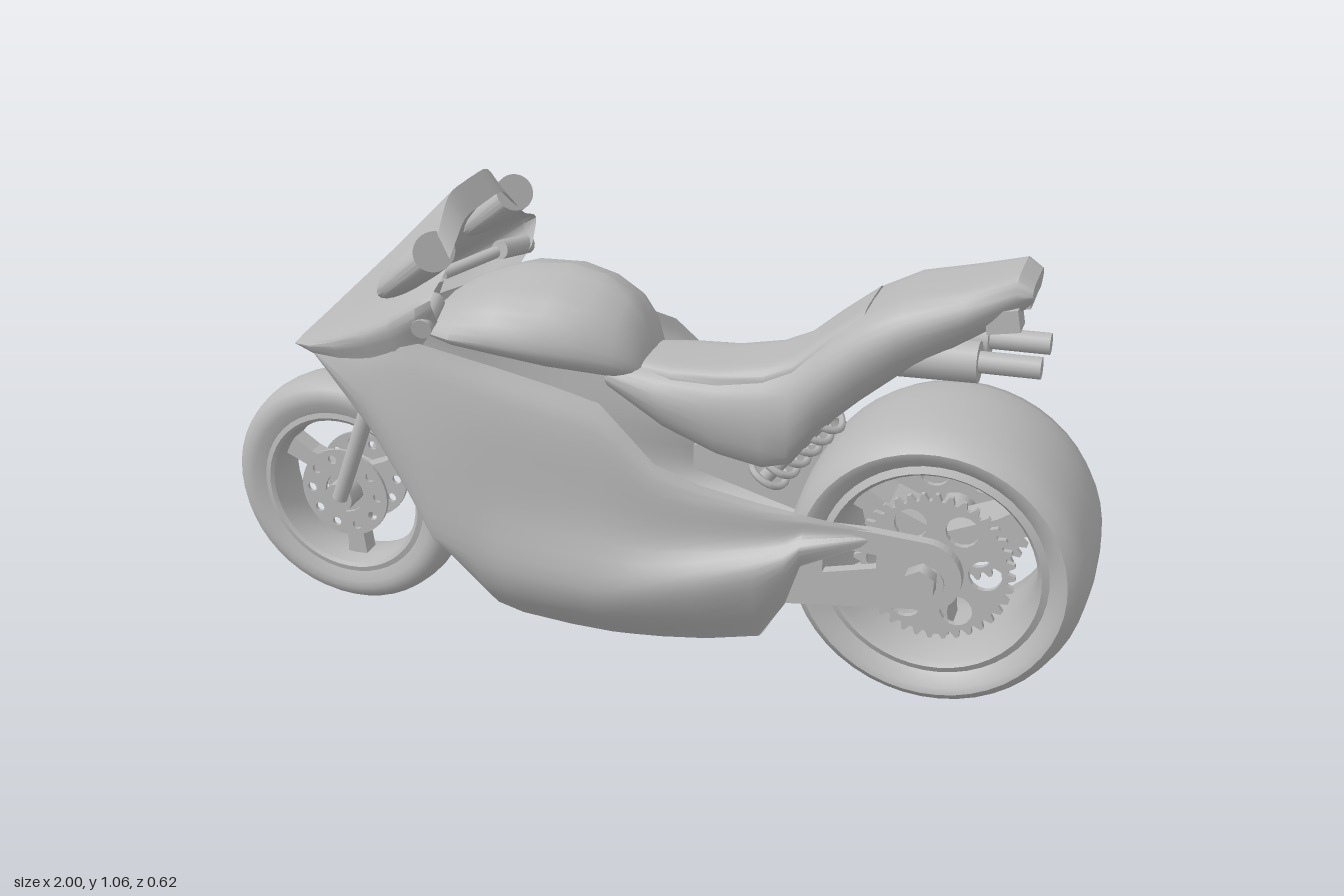
import * as THREE from 'three';
import { toCreasedNormals } from 'three/addons/utils/BufferGeometryUtils.js';

const grey = new THREE.MeshStandardMaterial({ color: 0xb8b8b8, side: THREE.DoubleSide });
grey.name = 'grey';
const V = (x, y, z) => new THREE.Vector3(x, y, z);
const lerp = THREE.MathUtils.lerp;

function add(parent, name, geo, x = 0, y = 0, z = 0) {
  const m = new THREE.Mesh(geo, grey);
  m.name = name;
  m.position.set(x, y, z);
  parent.add(m);
  return m;
}

function group(parent, name, x, y, z) {
  const g = new THREE.Group();
  g.name = name;
  g.position.set(x, y, z);
  parent.add(g);
  return g;
}

// Skin over a grid of section points
function skin(grid) {
  const n = grid[0].length, index = [];
  for (let i = 0; i < grid.length - 1; i++) {
    for (let j = 0; j < n - 1; j++) {
      const a = i * n + j, b = a + n;
      index.push(a, a + 1, b, a + 1, b + 1, b);
    }
  }
  const geo = new THREE.BufferGeometry().setFromPoints(grid.flat());
  geo.setIndex(index);
  return toCreasedNormals(geo, 0.7);
}

// Sections along x; profile(row) gives a section as [y, z] points, rounded by a curve
function sections(rows, profile) {
  return rows.map((r) => {
    const pts = profile(r).map(([y, z]) => V(r[0], y, z));
    return new THREE.CatmullRomCurve3(pts).getPoints((pts.length - 1) * 4);
  });
}

// Half sections mirrored across z, with optional end caps
function loft(rows, profile, capped = false) {
  const grid = sections(rows, profile).map((h) => [...h, ...h.slice().reverse().map((p) => V(p.x, p.y, -p.z))]);
  if (capped) {
    const centre = (s) => {
      const c = s.reduce((a, p) => a.add(p), V(0, 0, 0)).divideScalar(s.length);
      return s.map(() => c);
    };
    grid.unshift(centre(grid[0]));
    grid.push(centre(grid[grid.length - 1]));
  }
  return skin(grid);
}

// Round bar between two points
function rod(parent, name, a, b, r, r2 = r) {
  const d = b.clone().sub(a);
  const m = add(parent, name, new THREE.CylinderGeometry(r2, r, d.length(), 16));
  m.position.copy(a).addScaledVector(d, 0.5);
  m.quaternion.setFromUnitVectors(V(0, 1, 0), d.normalize());
}

// Ring of revolution about z from [radius, offset] pairs
function ring(pairs) {
  const geo = new THREE.LatheGeometry(pairs.map(([r, w]) => new THREE.Vector2(r, w)), 48);
  return toCreasedNormals(geo.rotateX(Math.PI / 2), 0.6);
}

// Flat disc with optional teeth and a circle of holes
function plate(r, teeth, holes, holeR, holeAt, bore, depth) {
  const s = new THREE.Shape();
  const n = teeth ? teeth * 4 : 40;
  for (let i = 0; i < n; i++) {
    const a = (i / n) * Math.PI * 2, q = teeth && i % 4 > 1 ? r * 0.91 : r;
    s[i ? 'lineTo' : 'moveTo'](Math.cos(a) * q, Math.sin(a) * q);
  }
  const hole = (x, y, k) => s.holes.push(new THREE.Path().absarc(x, y, k, 0, Math.PI * 2, true));
  hole(0, 0, bore);
  for (let i = 0; i < holes; i++) {
    const a = (i / holes) * Math.PI * 2;
    hole(Math.cos(a) * holeAt, Math.sin(a) * holeAt, holeR);
  }
  return new THREE.ExtrudeGeometry(s, { depth, bevelEnabled: false, curveSegments: 8 }).translate(0, 0, -depth / 2);
}

// Wheel: tyre, rim, spokes, hub and a disc on each side
function wheel(g, R, w, rimR, disc, discZ, hubW) {
  const d = R - rimR;
  const both = (half) => [...half.map(([r, k]) => [r, -k * w]), ...half.slice().reverse().map(([r, k]) => [r, k * w])];
  add(g, 'tyre', ring(both([[rimR, 0.84], [rimR + d * 0.3, 0.98], [rimR + d * 0.5, 1], [rimR + d * 0.75, 0.9], [rimR + d * 0.92, 0.65], [R - d * 0.02, 0.3], [R, 0]])));
  add(g, 'rim', ring(both([[rimR, 0.84], [rimR * 0.94, 0.88], [rimR * 0.9, 0.8], [rimR * 0.86, 0.35]])));
  for (let i = 0; i < 3; i++) {
    const outline = [[0.02, -0.035], [rimR * 0.6, -0.02], [rimR * 0.9, -0.026], [rimR * 0.9, 0.026], [rimR * 0.6, 0.02], [0.02, 0.035]];
    const spoke = new THREE.Shape(outline.map(([x, y]) => new THREE.Vector2(x, y)));
    const geo = new THREE.ExtrudeGeometry(spoke, { depth: w * 0.6, bevelEnabled: false }).translate(0, 0, -w * 0.3);
    add(g, 'spoke', geo).rotation.z = 0.55 + (i * Math.PI * 2) / 3;
  }
  rod(g, 'hub', V(0, 0, -hubW), V(0, 0, hubW), 0.035);
  for (const s of [-1, 1]) add(g, 'disc', disc, 0, 0, s * discZ);
}

export function createModel() {
  const bike = new THREE.Group();
  bike.name = 'motorcycle';

  // Wheels
  const frontDisc = plate(0.11, 0, 10, 0.011, 0.085, 0.05, 0.008);
  const sprocket = plate(0.165, 36, 6, 0.034, 0.105, 0.05, 0.012);
  wheel(group(bike, 'frontWheel', -0.715, 0.288, 0.01), 0.285, 0.07, 0.205, frontDisc, 0.05, 0.085);
  wheel(group(bike, 'rearWheel', 0.685, 0.408, 0.03), 0.312, 0.176, 0.235, sprocket, 0.125, 0.2);

  // Side fairing: x, top y, top z, waist z, crease y, crease z, bottom y, bottom z
  const F = [
    [-0.75, 0.66, 0.07, 0.08, 0.65, 0.08, 0.635, 0.06],
    [-0.58, 0.715, 0.165, 0.175, 0.55, 0.16, 0.475, 0.12],
    [-0.48, 0.75, 0.215, 0.222, 0.43, 0.2, 0.375, 0.16],
    [-0.4, 0.785, 0.245, 0.257, 0.325, 0.235, 0.285, 0.18],
    [-0.28, 0.765, 0.245, 0.268, 0.305, 0.265, 0.122, 0.16],
    [-0.22, 0.755, 0.245, 0.27, 0.3, 0.278, 0.106, 0.16],
    [-0.1, 0.733, 0.245, 0.27, 0.3, 0.29, 0.106, 0.17],
    [0, 0.71, 0.245, 0.27, 0.305, 0.298, 0.113, 0.18],
    [0.05, 0.665, 0.25, 0.268, 0.315, 0.3, 0.12, 0.185],
    [0.12, 0.595, 0.25, 0.263, 0.335, 0.3, 0.13, 0.19],
    [0.22, 0.56, 0.245, 0.256, 0.365, 0.296, 0.148, 0.195],
    [0.34, 0.537, 0.235, 0.245, 0.405, 0.282, 0.185, 0.205],
    [0.4, 0.527, 0.228, 0.236, 0.43, 0.265, 0.3, 0.235],
    [0.43, 0.52, 0.225, 0.23, 0.455, 0.252, 0.405, 0.238],
    [0.6, 0.495, 0.2, 0.2, 0.49, 0.2, 0.485, 0.2],
  ];
  const edge = (r) => lerp(r[6], r[4], 0.1);
  const flank = (s) => (r) => {
    const [, yt, zt, zm, yf, zf, , zb] = r, yb = edge(r);
    return [
      [yt, s * zt], [lerp(yt, yf, 0.15), s * lerp(zt, zm, 0.8)], [lerp(yt, yf, 0.65), s * zm],
      [yf, s * zf], [lerp(yf, yb, 0.5), s * lerp(zf, zb, 0.3)], [yb, s * zb],
    ];
  };
  const fairing = group(bike, 'fairing', 0, 0, 0.012);
  add(fairing, 'leftFlank', skin(sections(F, flank(1))));
  add(fairing, 'rightFlank', skin(sections(F, flank(-1))));
  add(fairing, 'bellyPan', loft(F.slice(3, 12), (r) => [[edge(r), r[7]], [lerp(r[6], edge(r), 0.3), r[7] * 0.75], [r[6], 0]]));

  // Nose cowl with side wings, rising into the windscreen: x, lower y, top y, half width
  const head = group(bike, 'head', 0, 0, -0.018);
  add(head, 'noseCowl', loft([
    [-0.82, 0.643, 0.655, 0.07], [-0.75, 0.65, 0.72, 0.125], [-0.65, 0.675, 0.815, 0.19],
    [-0.55, 0.705, 0.91, 0.238], [-0.47, 0.737, 0.99, 0.272], [-0.4, 0.775, 1.06, 0.285], [-0.365, 0.83, 1.01, 0.28],
  ], ([, b, t, w]) => {
    const h = t - b;
    return [[b, w * 0.9], [b + h * 0.32, w], [b + h * 0.5, w * 0.76], [b + h * 0.78, w * 0.53], [b + h * 0.97, w * 0.35], [t, 0]];
  }));

  // Fuel tank: x, base y, top y, half width
  const saddle = group(bike, 'saddle', 0, 0, 0.01);
  add(saddle, 'fuelTank', loft([
    [-0.43, 0.76, 0.81, 0.16], [-0.36, 0.75, 0.855, 0.19], [-0.27, 0.74, 0.892, 0.19], [-0.16, 0.725, 0.906, 0.175],
    [-0.08, 0.715, 0.892, 0.15], [-0.02, 0.705, 0.86, 0.125], [0.015, 0.7, 0.815, 0.1], [0.03, 0.7, 0.765, 0.08],
  ], ([, b, t, w]) => [[b, 0], [b, w * 0.8], [lerp(b, t, 0.25), w], [lerp(b, t, 0.75), w * 0.72], [t, 0]], true));

  // Seat and tail: x, lower y, top y, half width
  add(saddle, 'seatAndTail', loft([
    [-0.04, 0.67, 0.73, 0.11], [0.08, 0.6, 0.728, 0.12], [0.2, 0.555, 0.735, 0.12], [0.3, 0.54, 0.757, 0.122],
    [0.36, 0.56, 0.785, 0.13], [0.42, 0.65, 0.84, 0.142], [0.5, 0.73, 0.912, 0.15], [0.58, 0.8, 0.955, 0.148],
    [0.7, 0.88, 0.988, 0.125], [0.79, 0.935, 1.02, 0.09], [0.82, 0.965, 1.0, 0.075],
  ], ([, b, t, w]) => [[b, 0], [b, w * 0.7], [lerp(b, t, 0.55), w], [lerp(b, t, 0.92), w * 0.8], [t, 0]], true));
  add(saddle, 'seatPad', loft([
    [0.02, 0.7, 0.735, 0.08], [0.1, 0.7, 0.738, 0.1], [0.2, 0.7, 0.745, 0.1], [0.3, 0.72, 0.767, 0.1], [0.36, 0.75, 0.796, 0.1],
    [0.42, 0.8, 0.85, 0.1], [0.5, 0.88, 0.918, 0.09],
  ], ([, b, t, w]) => [[b, w], [t - 0.008, w * 0.92], [t, 0]], true));

  // Shock absorber with coil spring
  const top = V(0.43, 0.66, 0.02), low = V(0.29, 0.48, 0.02);
  rod(bike, 'shockAbsorber', low, top, 0.016);
  const axis = top.clone().sub(low), u = axis.clone().normalize(), across = V(-u.y, u.x, 0), coil = [];
  for (let i = 0; i <= 72; i++) {
    const a = (i / 12) * Math.PI * 2;
    coil.push(low.clone().addScaledVector(axis, i / 72).addScaledVector(across, 0.038 * Math.cos(a)).add(V(0, 0, 0.038 * Math.sin(a))));
  }
  add(bike, 'shockSpring', new THREE.TubeGeometry(new THREE.CatmullRomCurve3(coil), 120, 0.008, 6));

  // Swing arm outline, rounded around the axle
  const arm = new THREE.Shape();
  arm.moveTo(0.07, 0.44);
  arm.lineTo(0.38, 0.49);
  arm.lineTo(0.56, 0.5);
  arm.absarc(0.675, 0.418, 0.078, 1.5, -1.75, true);
  arm.lineTo(0.38, 0.3);
  arm.lineTo(0.07, 0.38);
  arm.closePath();
  arm.holes.push(new THREE.Path([[0.47, 0.39], [0.58, 0.42], [0.58, 0.45], [0.47, 0.455]].map(([x, y]) => new THREE.Vector2(x, y))));
  const armGeo = new THREE.ExtrudeGeometry(arm, { depth: 0.024, bevelEnabled: false }).translate(0, 0, -0.012);

  for (const s of [-1, 1]) {
    // Rear axle and arm
    add(bike, 'swingArm', armGeo, 0, 0, 0.022 + s * 0.19);
    add(bike, 'axleNut', new THREE.CylinderGeometry(0.034, 0.034, 0.035, 6), 0.675, 0.418, 0.03 + s * 0.214).rotation.x = Math.PI / 2;
    // Fork, handlebar and grip
    rod(bike, 'forkLeg', V(-0.71, 0.29, 0.01 + s * 0.085), V(-0.52, 0.8, 0.01 + s * 0.085), 0.018, 0.021);
    rod(head, 'handlebar', V(-0.5, 0.81, s * 0.06), V(-0.41, 0.835, s * 0.19), 0.014);
    rod(head, 'grip', V(-0.41, 0.84, s * 0.17), V(-0.39, 0.82, s * 0.28), 0.022);
    // Mirror: pointed half shell with a flat back
    const shell = new THREE.SphereGeometry(1, 24, 16), p = shell.attributes.position;
    for (let i = 0; i < p.count; i++) p.setX(i, Math.min(p.getX(i), 0));
    shell.scale(0.17, 0.042, 0.082);
    add(head, 'mirror', toCreasedNormals(shell, 0.6), -0.385, 0.967, s * 0.21).rotation.z = 0.7;
    // Exhaust pipes under the tail
    const z = 0.012 + s * 0.065;
    rod(bike, 'exhaustCan', V(0.47, 0.78, z), V(0.56, 0.825, z), 0.035, 0.042);
    rod(bike, 'exhaustBody', V(0.55, 0.825, z), V(0.73, 0.834, z), 0.042);
    rod(bike, 'exhaustTip', V(0.72, 0.834, z), V(0.85, 0.838, z), 0.022);
    // Tail lamps
    add(bike, 'tailLamp', new THREE.BoxGeometry(0.065, 0.045, 0.055), 0.77, 0.932, z).rotation.z = 0.2;
  }
  return bike;
}
